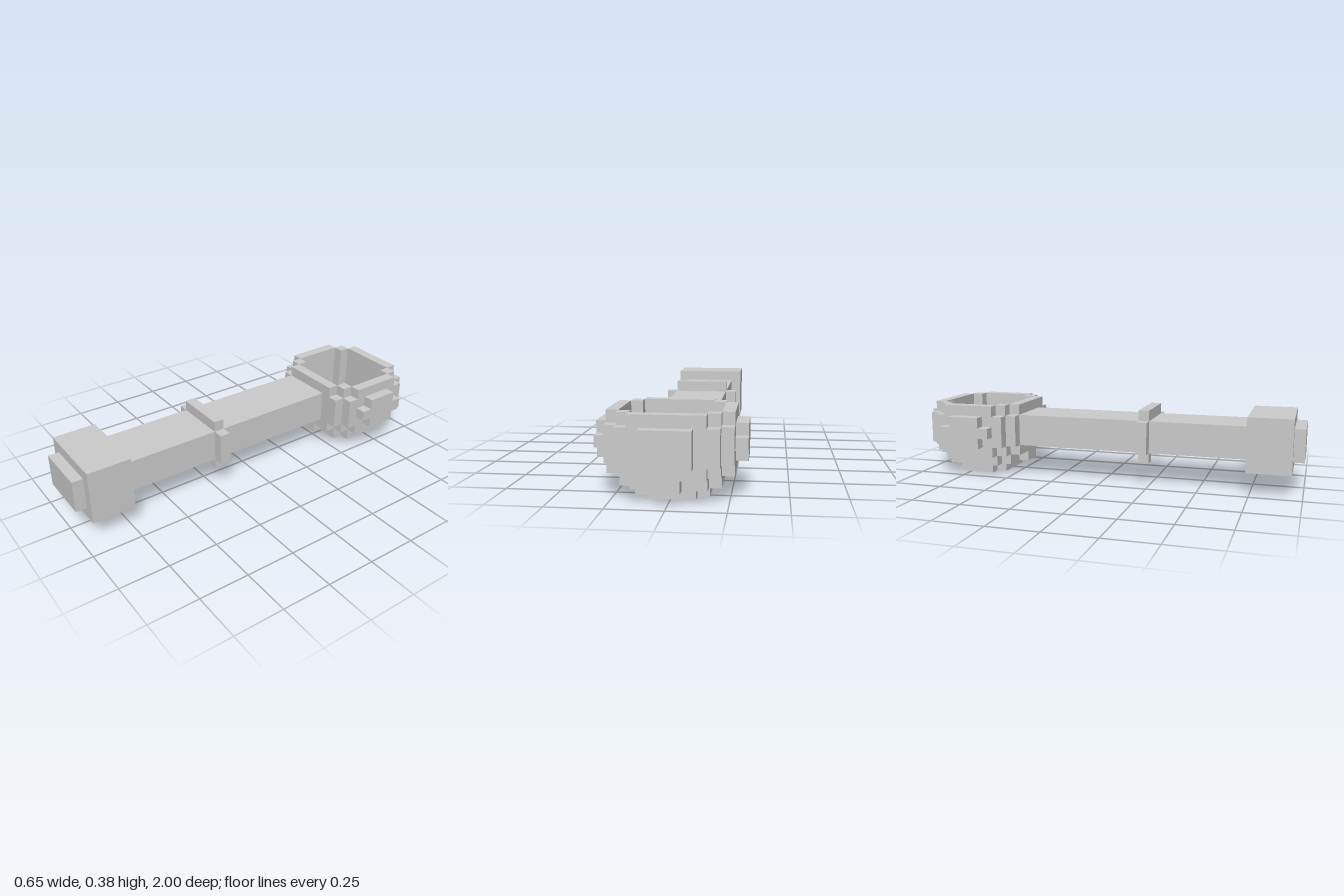
import * as THREE from 'three';
import { mergeGeometries } from 'three/addons/utils/BufferGeometryUtils.js';

const U = 2 / 37; // edge of one block

export function createModel() {
  const model = new THREE.Group();
  model.name = 'blockLadle';
  const material = new THREE.MeshStandardMaterial({ color: 0xcccccc, flatShading: true });

  const add = (name, geometry) => {
    const mesh = new THREE.Mesh(geometry, material);
    mesh.name = name;
    model.add(mesh);
  };

  // Box given by its lower and upper corners, in blocks
  const box = (name, [x0, y0, z0], [x1, y1, z1]) => {
    const g = new THREE.BoxGeometry(x1 - x0, y1 - y0, z1 - z0);
    g.translate((x0 + x1) / 2, (y0 + y1) / 2, (z0 + z1) / 2);
    add(name, g.scale(U, U, U));
  };

  // Handle, pommel and end cap
  box('handle', [-3, 3, -8.5], [2, 6, 13.5]);
  box('pommel', [-4, 2, 13.5], [3, 7, 17.5]);
  box('endCap', [-3, 3, 17.5], [2, 6, 18.5]);

  // Collar: top bar, side bars and two small feet
  box('collarTop', [-3, 6, 3.5], [2, 7, 4.5]);
  for (const [side, foot] of [[-4, -3], [2, 1]]) {
    box('collarSide', [side, 3, 3.5], [side + 1, 6, 4.5]);
    box('collarFoot', [foot, 2, 3.5], [foot + 1, 3, 4.5]);
  }

  // Bowl: blocks of a truncated ellipsoid with a straight-sided hollow
  const inside = (x, y, z) => (x / 6) ** 2 + (y / 4.5) ** 2 + (z / 5.5) ** 2 < 1;
  const hollow = (x, y, z) => y >= -2 && Math.abs(z) < 4 && inside(x, -3, z);
  const filled = (x, y, z) => y <= 2 && z < 5 && inside(x, y, z) && !hollow(x, y, z);

  const directions = [[1, 0, 0], [-1, 0, 0], [0, 1, 0], [0, -1, 0], [0, 0, 1], [0, 0, -1]]
    .map((d) => new THREE.Vector3(...d));
  const forward = new THREE.Vector3(0, 0, 1);
  const faces = [];
  for (let x = -5.5; x < 6; x++) {
    for (let y = -4; y <= 2; y++) {
      for (let z = -5; z <= 4; z++) {
        if (!filled(x, y, z)) continue;
        // Only the exposed faces of each block
        for (const d of directions) {
          if (filled(x + d.x, y + d.y, z + d.z)) continue;
          const face = new THREE.PlaneGeometry(1, 1);
          face.applyQuaternion(new THREE.Quaternion().setFromUnitVectors(forward, d));
          face.translate(x + d.x / 2, y + d.y / 2, z + d.z / 2);
          faces.push(face);
        }
      }
    }
  }
  add('bowl', mergeGeometries(faces).translate(0, 4.5, -13).scale(U, U, U));

  return model;
}
